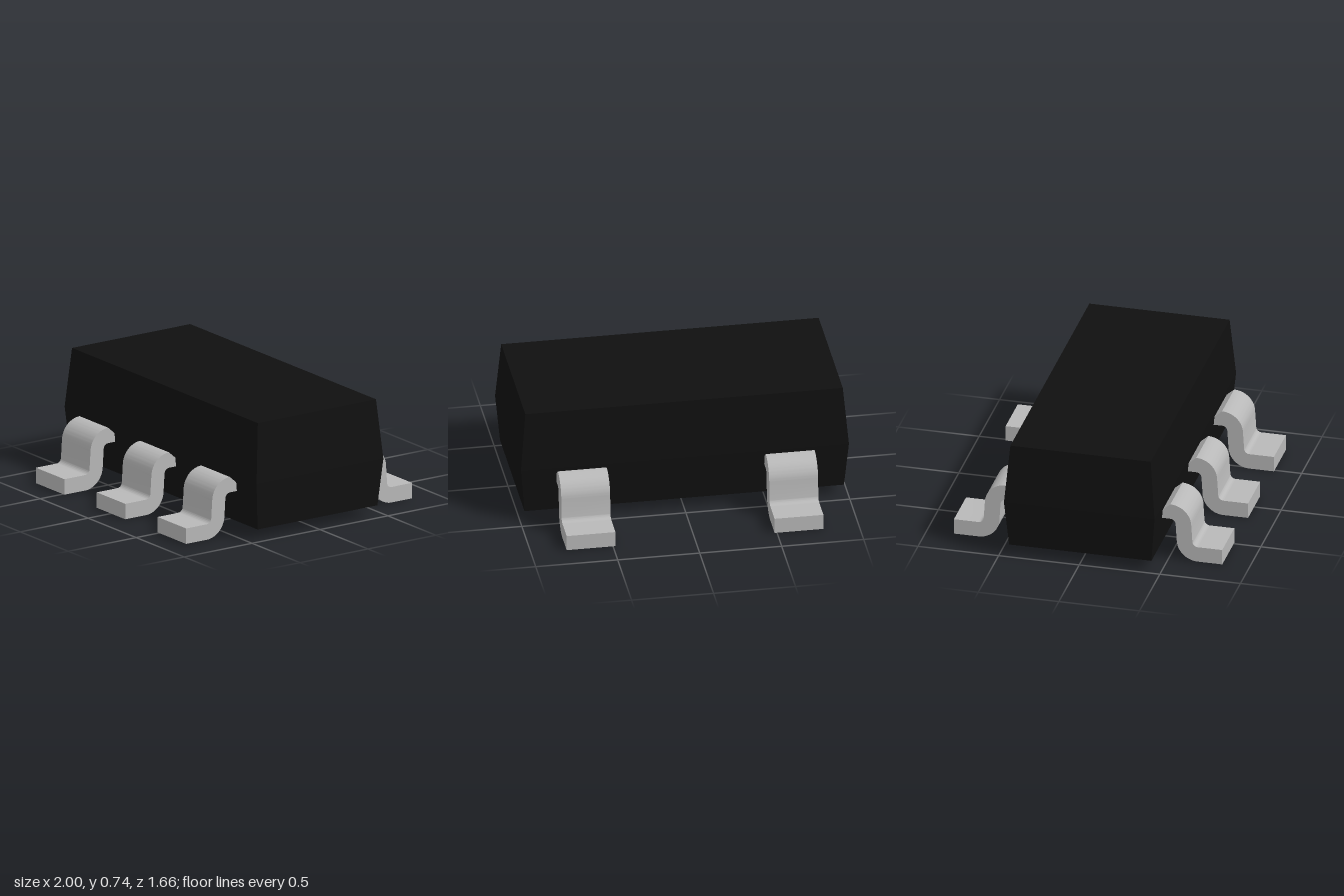
import * as THREE from 'three';
import { toCreasedNormals } from 'three/addons/utils/BufferGeometryUtils.js';

const plastic = new THREE.MeshStandardMaterial({ name: 'black plastic', color: 0x101010 });
const metal = new THREE.MeshStandardMaterial({ name: 'grey metal', color: 0xb8b8b8 });

// Moulded block, widest at its mid line and drafted towards top and bottom
function makeBody() {
  const bottom = 0.07, middle = 0.365, top = 0.735;
  const box = new THREE.BoxGeometry(2, 2, 0.934, 1, 2, 1);
  const pos = box.attributes.position;
  for (let i = 0; i < pos.count; i++) {
    const level = Math.round(pos.getY(i));
    const inset = level > 0 ? 0.032 : level < 0 ? 0.026 : 0;
    const x = pos.getX(i), z = pos.getZ(i);
    pos.setXYZ(i, x - Math.sign(x) * inset, [bottom, middle, top][level + 1], z - Math.sign(z) * inset);
  }
  const geometry = box.toNonIndexed();
  geometry.computeVertexNormals();
  const mesh = new THREE.Mesh(geometry, plastic);
  mesh.name = 'body';
  return mesh;
}

// Gull-wing lead: side profile (outward, up) extruded across its width
function makeLeadGeometry() {
  const width = 0.298, outer = 0.13, inner = 0.033, tilt = 0.066;
  const shape = new THREE.Shape();
  shape.moveTo(0.4, 0.365);
  shape.absarc(0.51, 0.235, outer, Math.PI / 2, tilt, true);
  shape.absarc(0.68, 0.13, inner, Math.PI + tilt, Math.PI * 1.5, false);
  shape.lineTo(0.832, 0.097);
  shape.lineTo(0.832, 0);
  shape.absarc(0.68, 0.13, outer, Math.PI * 1.5, Math.PI + tilt, true);
  shape.absarc(0.51, 0.235, inner, tilt, Math.PI / 2, false);
  shape.lineTo(0.4, 0.268);
  shape.closePath();
  const geometry = new THREE.ExtrudeGeometry(shape, { depth: width, bevelEnabled: false, curveSegments: 12 });
  geometry.translate(0, 0, -width / 2);
  geometry.rotateY(-Math.PI / 2);
  return toCreasedNormals(geometry, 0.5);
}

export function createModel() {
  const model = new THREE.Group();
  model.name = 'surfaceMountChip';
  model.add(makeBody());

  // Three leads at the front, two at the back
  const leadGeometry = makeLeadGeometry();
  const pitch = 0.634;
  const addLead = (name, x, turn) => {
    const lead = new THREE.Mesh(leadGeometry, metal);
    lead.name = name;
    lead.position.x = x;
    lead.rotation.y = turn;
    model.add(lead);
  };
  for (const side of [-1, 0, 1]) addLead('frontLead', side * pitch, 0);
  for (const side of [-1, 1]) addLead('backLead', side * pitch, Math.PI);
  return model;
}
